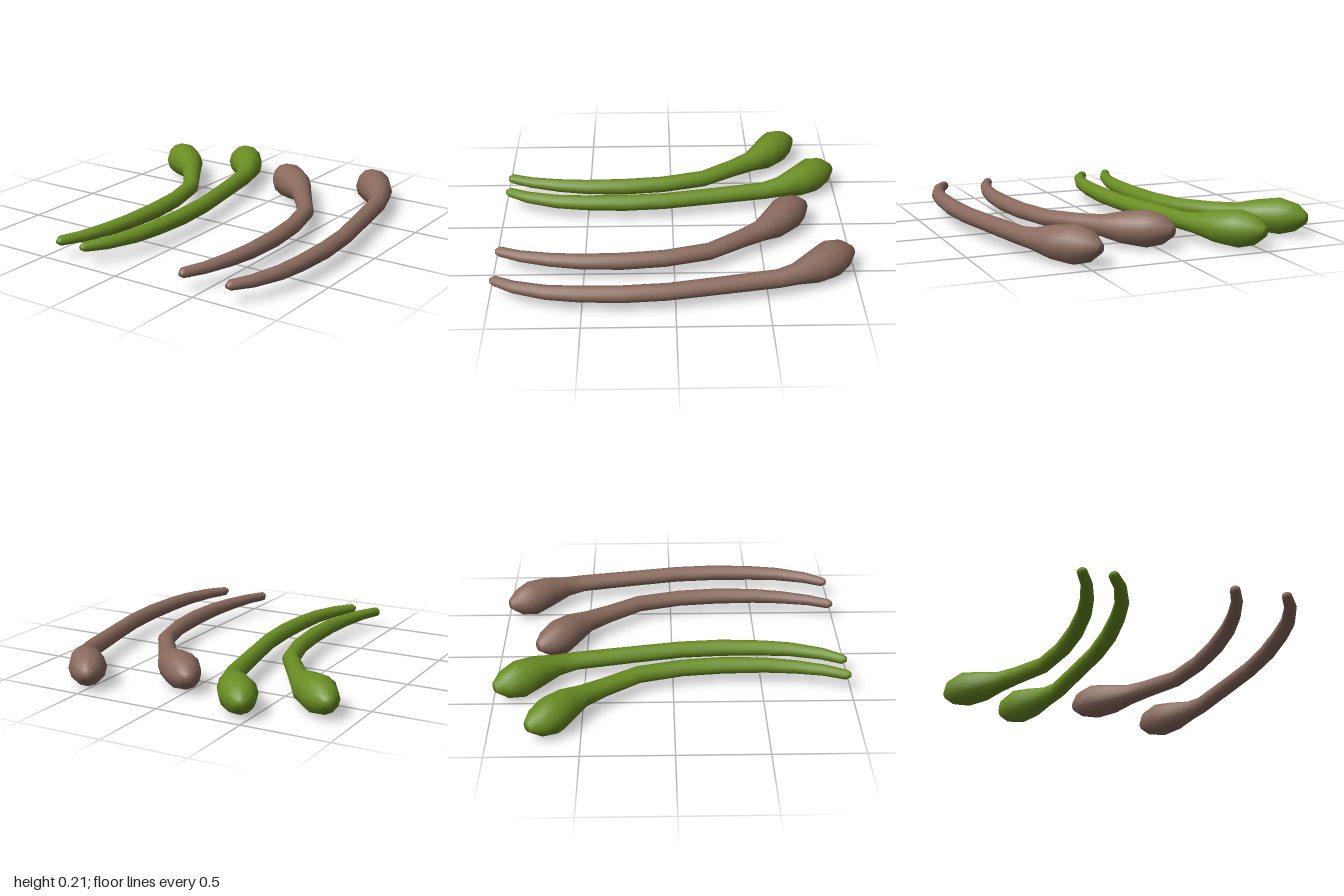
import * as THREE from 'three';

const SIDES = 12;
const MID_Y = 0.105;

// Stations along each club: [x, z, radius], from the head end to the thin tail
const gentleCurve = [
  [-0.493, -0.985, 0.03], [-0.463, -0.93, 0.08], [-0.41, -0.855, 0.105],
  [-0.331, -0.76, 0.09], [-0.265, -0.65, 0.06], [-0.222, -0.55, 0.051],
  [-0.16, -0.225, 0.048], [-0.111, 0.045, 0.047], [-0.093, 0.285, 0.047],
  [-0.1, 0.515, 0.044], [-0.119, 0.685, 0.04], [-0.172, 0.86, 0.034],
  [-0.233, 0.968, 0.028], [-0.237, 0.992, 0.013],
];
const sharpCurve = [
  [-0.876, -0.775, 0.032], [-0.839, -0.725, 0.08], [-0.775, -0.66, 0.105],
  [-0.672, -0.585, 0.09], [-0.59, -0.5, 0.062], [-0.503, -0.38, 0.052],
  [-0.376, -0.194, 0.048], [-0.31, 0.055, 0.047], [-0.286, 0.288, 0.047],
  [-0.288, 0.516, 0.043], [-0.31, 0.685, 0.038], [-0.349, 0.85, 0.032],
  [-0.4, 0.97, 0.028], [-0.398, 0.993, 0.013],
];

// Skin round sections set square to the path, with a closed cap at each end
function clubGeometry(stations) {
  const pos = [];
  const index = [];
  const last = stations.length - 1;
  stations.forEach(([x, z, r], i) => {
    const a = stations[Math.max(i - 1, 0)];
    const b = stations[Math.min(i + 1, last)];
    const t = new THREE.Vector2(b[0] - a[0], b[1] - a[1]).normalize();
    for (let j = 0; j < SIDES; j++) {
      const angle = (j / SIDES) * Math.PI * 2;
      const side = Math.cos(angle) * r;
      pos.push(x + t.y * side, MID_Y + Math.sin(angle) * r, z - t.x * side);
    }
  });
  for (let i = 0; i < last; i++) {
    for (let j = 0; j < SIDES; j++) {
      const k = (j + 1) % SIDES;
      const a = i * SIDES + j, b = i * SIDES + k;
      index.push(a, b, a + SIDES, b, b + SIDES, a + SIDES);
    }
  }
  // End caps
  const head = pos.length / 3;
  pos.push(stations[0][0], MID_Y, stations[0][1]);
  pos.push(stations[last][0], MID_Y, stations[last][1]);
  for (let j = 0; j < SIDES; j++) {
    const k = (j + 1) % SIDES;
    index.push(head, k, j, head + 1, last * SIDES + j, last * SIDES + k);
  }
  const geo = new THREE.BufferGeometry();
  geo.setAttribute('position', new THREE.Float32BufferAttribute(pos, 3));
  geo.setIndex(index);
  geo.computeVertexNormals();
  return geo;
}

export function createModel() {
  const model = new THREE.Group();
  model.name = 'curvedClubs';

  const green = new THREE.MeshStandardMaterial({ color: 0x6b8e23 });
  green.name = 'olive green';
  const brown = new THREE.MeshStandardMaterial({ color: 0x8b6b5e });
  brown.name = 'dusty brown';

  // Each shape appears once in green and once, shifted sideways, in brown
  const shapes = [
    ['GentleClub', clubGeometry(gentleCurve), 0.942],
    ['SharpClub', clubGeometry(sharpCurve), 0.82],
  ];
  for (const [name, geo, shift] of shapes) {
    const greenClub = new THREE.Mesh(geo, green);
    greenClub.name = 'green' + name;
    const brownClub = new THREE.Mesh(geo, brown);
    brownClub.name = 'brown' + name;
    brownClub.position.x = shift;
    model.add(greenClub, brownClub);
  }
  return model;
}
